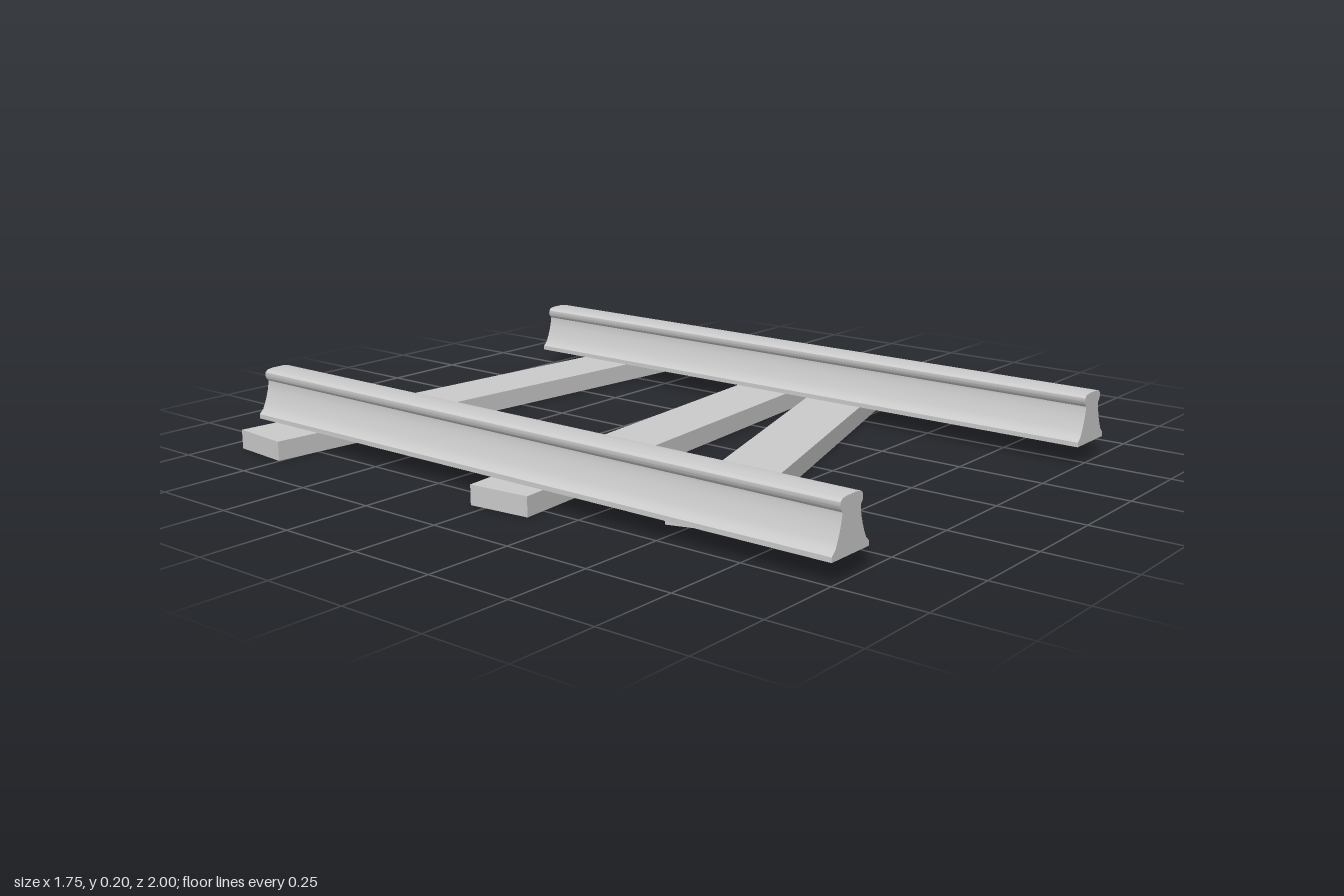
import * as THREE from 'three';
import { toCreasedNormals } from 'three/addons/utils/BufferGeometryUtils.js';

const material = new THREE.MeshStandardMaterial({ color: 0xcccccc });
const TIE_HEIGHT = 0.055;

// Half of the rail section, from the foot up to the head: [x, y]
const halfSection = [
  [0.075, 0], [0.075, 0.013], [0.062, 0.025], [0.054, 0.042], [0.047, 0.06],
  [0.041, 0.08], [0.037, 0.1], [0.037, 0.107], [0.044, 0.116],
  [0.046, 0.122], [0.045, 0.132], [0.038, 0.139], [0.02, 0.142],
];

function railGeometry() {
  const mirrored = halfSection.map(([x, y]) => [-x, y]).reverse();
  const points = [...halfSection, ...mirrored].map(([x, y]) => new THREE.Vector2(x, y));
  const geometry = new THREE.ExtrudeGeometry(new THREE.Shape(points), { depth: 2, bevelEnabled: false });
  geometry.translate(0, TIE_HEIGHT, -1);
  return toCreasedNormals(geometry, 0.5);
}

export function createModel() {
  const model = new THREE.Group();
  model.name = 'railTrack';

  // Two parallel rails
  const rail = railGeometry();
  for (const [name, x] of [['leftRail', 0.525], ['rightRail', -0.675]]) {
    const mesh = new THREE.Mesh(rail, material);
    mesh.name = name;
    mesh.position.x = x;
    model.add(mesh);
  }

  // Crooked ties under the rails: name, x, z, turn about y
  const tie = new THREE.BoxGeometry(1.53, TIE_HEIGHT, 0.184);
  const ties = [
    ['backTie', -0.109, -0.772, -0.095],
    ['middleTie', -0.06, -0.024, 0.091],
    ['frontTie', 0.115, 0.3, 0.301],
  ];
  for (const [name, x, z, turn] of ties) {
    const mesh = new THREE.Mesh(tie, material);
    mesh.name = name;
    mesh.position.set(x, TIE_HEIGHT / 2, z);
    mesh.rotation.y = turn;
    model.add(mesh);
  }

  return model;
}
